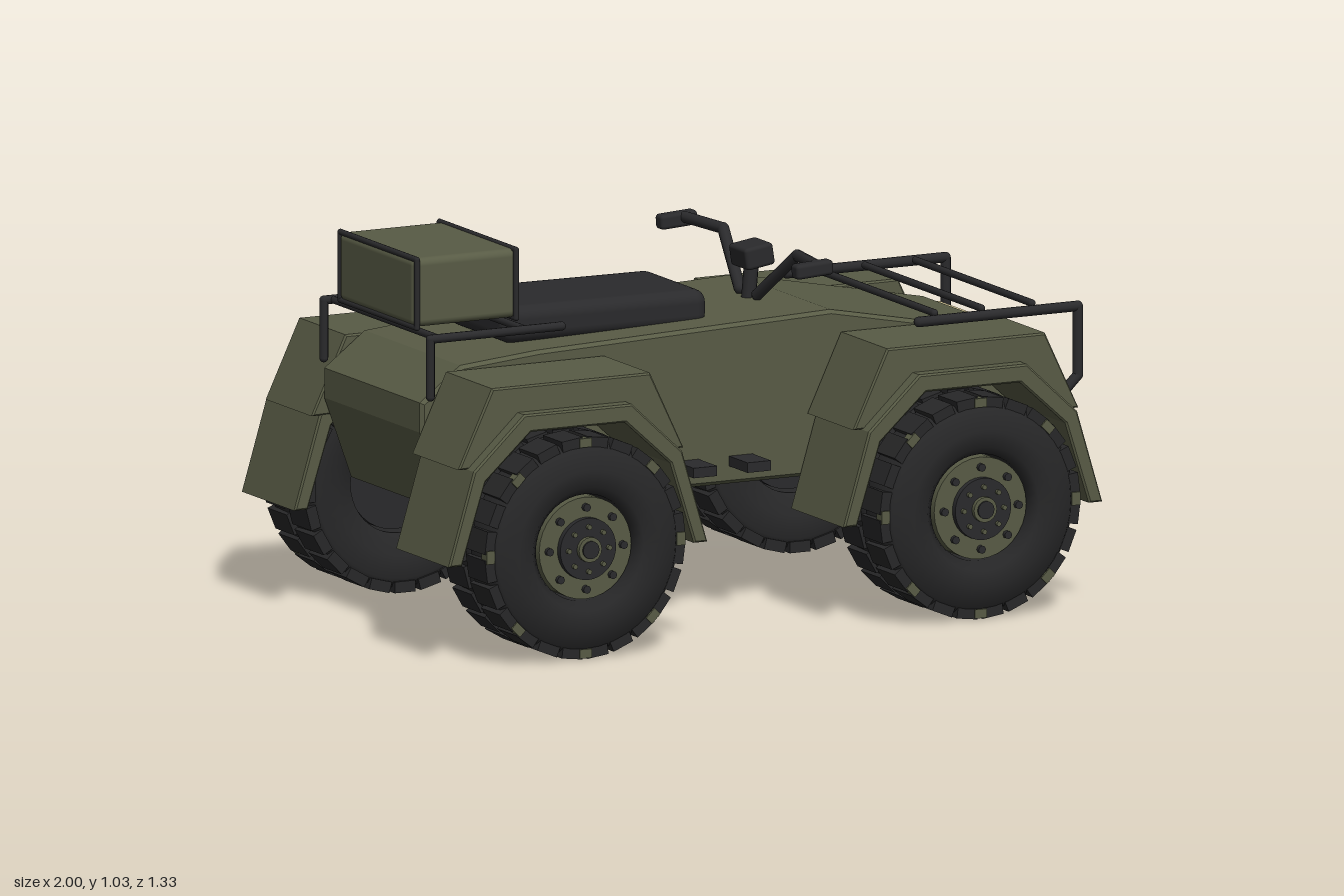
import * as THREE from 'three';
import { RoundedBoxGeometry } from 'three/addons/geometries/RoundedBoxGeometry.js';

const mat = (name, color, opts = {}) => {
  const m = new THREE.MeshStandardMaterial({ color, ...opts });
  m.name = name;
  return m;
};

export function createModel() {
  const olive = mat('olive paint', 0x585b45);
  const black = mat('black metal', 0x2a2a2c);
  const rubber = mat('tyre rubber', 0x272728);
  const cream = mat('headlight cream', 0xcfc294);

  const root = new THREE.Group();
  root.name = 'quadBike';

  const add = (parent, name, geo, material, x = 0, y = 0, z = 0) => {
    const m = new THREE.Mesh(geo, material);
    m.name = name;
    m.position.set(x, y, z);
    parent.add(m);
    return m;
  };
  const box = (parent, name, w, h, d, material, x, y, z) =>
    add(parent, name, new THREE.BoxGeometry(w, h, d), material, x, y, z);
  // cylinder along z
  const disc = (parent, name, r, z0, z1, material, x = 0, y = 0, seg = 32) =>
    add(parent, name, new THREE.CylinderGeometry(r, r, z1 - z0, seg).rotateX(Math.PI / 2), material, x, y, (z0 + z1) / 2);
  // profile in x,y extruded from z0 to z1
  const slab = (parent, name, pts, z0, z1, bevel, material) => {
    const shape = new THREE.Shape(pts.map(([x, y]) => new THREE.Vector2(x, y)));
    const geo = new THREE.ExtrudeGeometry(shape, {
      depth: z1 - z0 - 2 * bevel, bevelEnabled: true, bevelSize: bevel,
      bevelOffset: -bevel, bevelThickness: bevel, bevelSegments: 1,
    });
    return add(parent, name, geo, material, 0, 0, z0 + bevel);
  };
  // bent bar made from straight rods with round joints
  const bar = (parent, name, pts, r, material) => {
    const g = new THREE.Group();
    g.name = name;
    const v = pts.map((p) => new THREE.Vector3(...p));
    for (let i = 0; i < v.length - 1; i++) {
      const rod = new THREE.TubeGeometry(new THREE.LineCurve3(v[i], v[i + 1]), 1, r, 10);
      add(g, name + 'Rod', rod, material);
    }
    v.forEach((p) => add(g, name + 'Joint', new THREE.SphereGeometry(r, 10, 8), material, p.x, p.y, p.z));
    parent.add(g);
    return g;
  };

  // hull
  slab(root, 'body', [
    [-0.84, 0.36], [0.82, 0.36], [0.9, 0.6], [0.9, 0.66], [0.86, 0.69], [0.3, 0.8],
    [-0.57, 0.77], [-0.8, 0.75], [-0.92, 0.66], [-0.92, 0.58],
  ], -0.28, 0.28, 0.01, olive);
  box(root, 'bellyPlate', 0.4, 0.03, 0.36, black, -0.08, 0.355, 0);

  // seat and storage box
  const seat = add(root, 'seat', new RoundedBoxGeometry(0.61, 0.1, 0.34, 3, 0.035), black, -0.31, 0.815, 0);
  seat.rotation.z = -0.008;
  add(root, 'storageBox', new RoundedBoxGeometry(0.32, 0.185, 0.43, 3, 0.02), olive, -0.748, 0.942, 0);
  for (const x of [-0.9, -0.605]) {
    bar(root, 'boxStrap', [
      [x, 0.85, -0.217], [x, 1.033, -0.217], [x, 1.033, 0.217], [x, 0.85, 0.217], [x, 0.85, -0.217],
    ], 0.008, black);
  }

  // crossbars of both racks
  for (const x of [0.58, 0.72, 0.87]) bar(root, 'frontRackBar', [[x, 0.775, -0.33], [x, 0.775, 0.33]], 0.01, black);
  for (const x of [-0.88, -0.62]) bar(root, 'rearRackBar', [[x, 0.835, -0.3], [x, 0.835, 0.3]], 0.01, black);

  // handlebar centre
  const meter = add(root, 'instrumentBox', new RoundedBoxGeometry(0.085, 0.06, 0.1, 2, 0.01), black, 0.21, 0.91, 0);
  meter.rotation.z = 0.15;
  bar(root, 'steeringColumn', [[0.2, 0.79, 0], [0.21, 0.9, 0]], 0.02, black);

  // parts repeated on both sides
  for (const s of [1, -1]) {
    const side = new THREE.Group();
    side.name = s > 0 ? 'nearSide' : 'farSide';
    root.add(side);

    bar(side, 'rearRackRail', [[-0.905, 0.68, s * 0.302], [-0.905, 0.835, s * 0.302], [-0.515, 0.835, s * 0.302]], 0.012, black);
    bar(side, 'frontGuard', [
      [0.51, 0.765, s * 0.375], [0.983, 0.765, s * 0.375], [0.983, 0.58, s * 0.375], [0.885, 0.485, s * 0.375],
    ], 0.014, black);

    bar(side, 'handlebar', [[0.2, 0.81, s * 0.05], [0.235, 0.94, s * 0.21], [0.205, 0.945, s * 0.37]], 0.016, black);
    const grip = add(side, 'grip', new RoundedBoxGeometry(0.11, 0.04, 0.04, 2, 0.01), black, 0.188, 0.938, s * 0.385);
    grip.rotation.z = 0.06;

    box(side, 'headlight', 0.025, 0.08, 0.16, cream, 0.903, 0.63, s * 0.2);
    for (const x of [-0.13, 0.03]) box(side, 'footPeg', 0.07, 0.027, 0.12, black, x, 0.422, s * 0.325);

    for (const [cx, label] of [[-0.615, 'rear'], [0.56, 'front']]) {
      bar(side, label + 'Axle', [[cx, 0.33, s * 0.07], [cx, 0.305, s * 0.42]], 0.026, black);
      const corner = new THREE.Group();
      corner.name = label + 'Corner';
      corner.position.x = cx;
      corner.rotation.y = s > 0 ? 0 : Math.PI;
      side.add(corner);
      buildFender(corner);
      const wheel = new THREE.Group();
      wheel.name = label + 'Wheel';
      wheel.position.y = 0.305;
      corner.add(wheel);
      buildWheel(wheel);
    }
  }

  function buildFender(g) {
    slab(g, 'fenderTop', [
      [-0.335, 0.53], [-0.235, 0.74], [0.235, 0.74], [0.335, 0.53],
      [0.28, 0.53], [0.15, 0.65], [-0.15, 0.65], [-0.28, 0.53],
    ], 0.282, 0.55, 0.005, olive);
    const half = [[0.385, 0.28], [0.31, 0.53], [0.16, 0.67]];
    const inner = [[0.345, 0.28], [0.275, 0.5], [0.14, 0.622]];
    const flip = ([x, y]) => [-x, y];
    slab(g, 'fenderArch', [
      ...half, ...half.map(flip).reverse(), ...inner.map(flip), ...inner.slice().reverse(),
    ], 0.285, 0.59, 0.005, olive);
  }

  function buildWheel(g) {
    const profile = [
      [0.143, 0.43], [0.2, 0.395], [0.26, 0.395], [0.285, 0.41], [0.289, 0.5], [0.278, 0.508],
      [0.278, 0.522], [0.289, 0.53], [0.285, 0.61], [0.265, 0.635], [0.21, 0.652], [0.165, 0.645],
      [0.143, 0.62], [0.143, 0.43],
    ].map(([r, z]) => new THREE.Vector2(r, z));
    add(g, 'tyre', new THREE.LatheGeometry(profile, 40).rotateX(Math.PI / 2), rubber);

    // staggered tread blocks, with painted patches on the shoulder
    const n = 24;
    for (let i = 0; i < n; i++) {
      for (const [z, off] of [[0.447, 0], [0.574, 0.5]]) {
        const a = ((i + off) / n) * Math.PI * 2;
        const block = box(g, 'treadBlock', 0.03, 0.062, 0.108, rubber, Math.cos(a) * 0.282, Math.sin(a) * 0.282, z);
        block.rotation.z = a;
      }
    }
    for (let i = 0; i < 8; i++) {
      const a = (i / 8) * Math.PI * 2;
      const patch = box(g, 'treadPatch', 0.024, 0.035, 0.03, olive, Math.cos(a) * 0.283, Math.sin(a) * 0.283, 0.618);
      patch.rotation.z = a;
      disc(g, 'wheelBolt', 0.011, 0.62, 0.64, black, Math.cos(a) * 0.11, Math.sin(a) * 0.11, 8);
      disc(g, 'hubStud', 0.007, 0.64, 0.655, olive, Math.cos(a) * 0.06, Math.sin(a) * 0.06, 8);
    }
    disc(g, 'rim', 0.137, 0.57, 0.628, olive);
    disc(g, 'innerRim', 0.137, 0.45, 0.57, black);
    disc(g, 'hubPlate', 0.083, 0.62, 0.645, black);
    disc(g, 'hubRing', 0.034, 0.64, 0.658, olive, 0, 0, 16);
    disc(g, 'hubCap', 0.024, 0.64, 0.663, black, 0, 0, 16);
  }

  return root;
}
